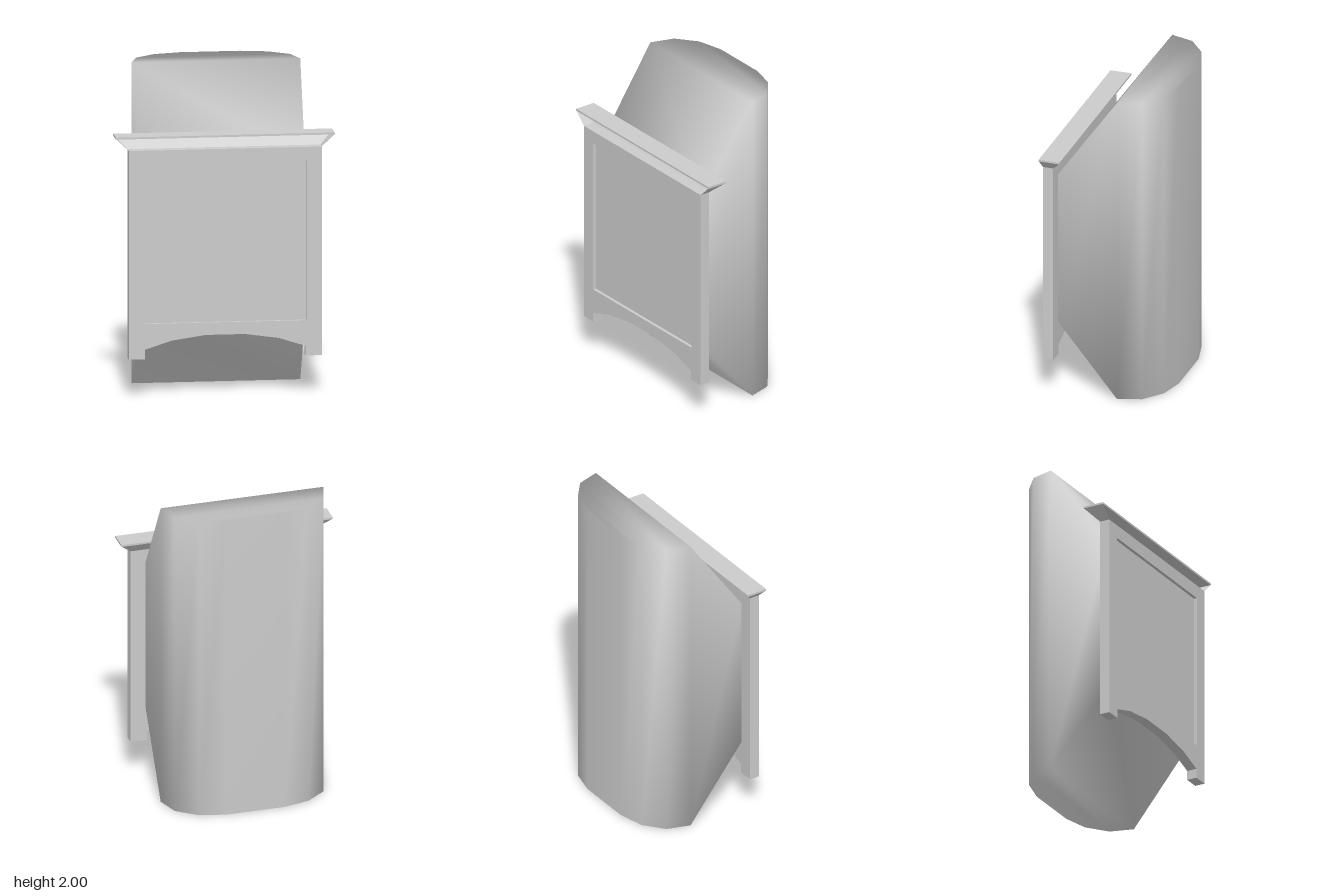
import * as THREE from 'three';

const grey = new THREE.MeshStandardMaterial({ color: 0xcccccc, side: THREE.DoubleSide });

function add(group, name, geometry, x = 0, y = 0, z = 0) {
  const mesh = new THREE.Mesh(geometry, grey);
  mesh.name = name;
  mesh.position.set(x, y, z);
  group.add(mesh);
  return mesh;
}

// Geometry from shared points and quads (corners counter-clockwise from outside)
function quads(points, faces) {
  const geometry = new THREE.BufferGeometry();
  geometry.setAttribute('position', new THREE.Float32BufferAttribute(points.flat(), 3));
  geometry.setIndex(faces.flatMap(([a, b, c, d]) => [a, b, c, a, c, d]));
  return geometry;
}

// Rounded rear housing: U-shaped plan, sloping to the front at top and bottom
function housingGeometry() {
  const half = [[0.5, 0.305], [0.52, -0.083], [0.475, -0.23], [0.35, -0.33], [0.185, -0.37]];
  const plan = [...half, ...half.map(([x, z]) => [-x, z]).reverse()];
  const n = plan.length;
  const isFront = (i) => i === 0 || i === n - 1;
  const bottom = plan.map(([x, z], i) => [x, isFront(i) ? 0.455 : 0, z]);
  const top = plan.map(([x, z], i) => [x, isFront(i) ? 1.45 : 2, z]);
  const faces = [];
  for (let i = 0; i < n - 1; i++) faces.push([i, i + 1, n + i + 1, n + i]);
  for (let i = 0; i < half.length - 1; i++) {
    const strip = [i, i + 1, n - 2 - i, n - 1 - i];
    faces.push(strip.map((k) => k + n), [...strip].reverse());
  }
  const geometry = quads([...bottom, ...top], faces);
  geometry.computeVertexNormals();
  return geometry;
}

// Front frame with a square opening and an arched foot
function frameGeometry() {
  const arch = [[0.495, 0.235], [0.495, 0.295], [0.33, 0.348], [0.12, 0.378]];
  const outline = [
    [-0.595, 1.535], [-0.595, 0.235],
    ...arch.map(([x, y]) => [-x, y]), ...[...arch].reverse(),
    [0.595, 0.235], [0.595, 1.535],
  ];
  const toPoints = (list) => list.map(([x, y]) => new THREE.Vector2(x, y));
  const shape = new THREE.Shape(toPoints(outline));
  shape.holes.push(new THREE.Path(toPoints([[-0.5, 0.455], [-0.5, 1.45], [0.5, 1.45], [0.5, 0.455]])));
  return new THREE.ExtrudeGeometry(shape, { depth: 0.065, bevelEnabled: false });
}

// Flared skirt under the shelf, open at the front
function skirtGeometry() {
  const low = [[0.595, 0.37], [0.595, 0.305], [-0.595, 0.305], [-0.595, 0.37]];
  const high = [[0.675, 0.37], [0.675, 0.235], [-0.675, 0.235], [-0.675, 0.37]];
  const points = [...low.map(([x, z]) => [x, 1.535, z]), ...high.map(([x, z]) => [x, 1.61, z])];
  const geometry = quads(points, [0, 1, 2].map((i) => [i, i + 1, i + 5, i + 4])).toNonIndexed();
  geometry.computeVertexNormals();
  return geometry;
}

export function createModel() {
  const model = new THREE.Group();
  model.name = 'hoodedPanel';

  add(model, 'rearHousing', housingGeometry());
  add(model, 'frontFrame', frameGeometry(), 0, 0, 0.305);
  add(model, 'recessedPanel', new THREE.BoxGeometry(1, 0.995, 0.045), 0, 0.9525, 0.3275);
  add(model, 'shelfSkirt', skirtGeometry());
  add(model, 'shelfTop', new THREE.BoxGeometry(1.35, 0.012, 0.135), 0, 1.614, 0.3025);

  return model;
}
